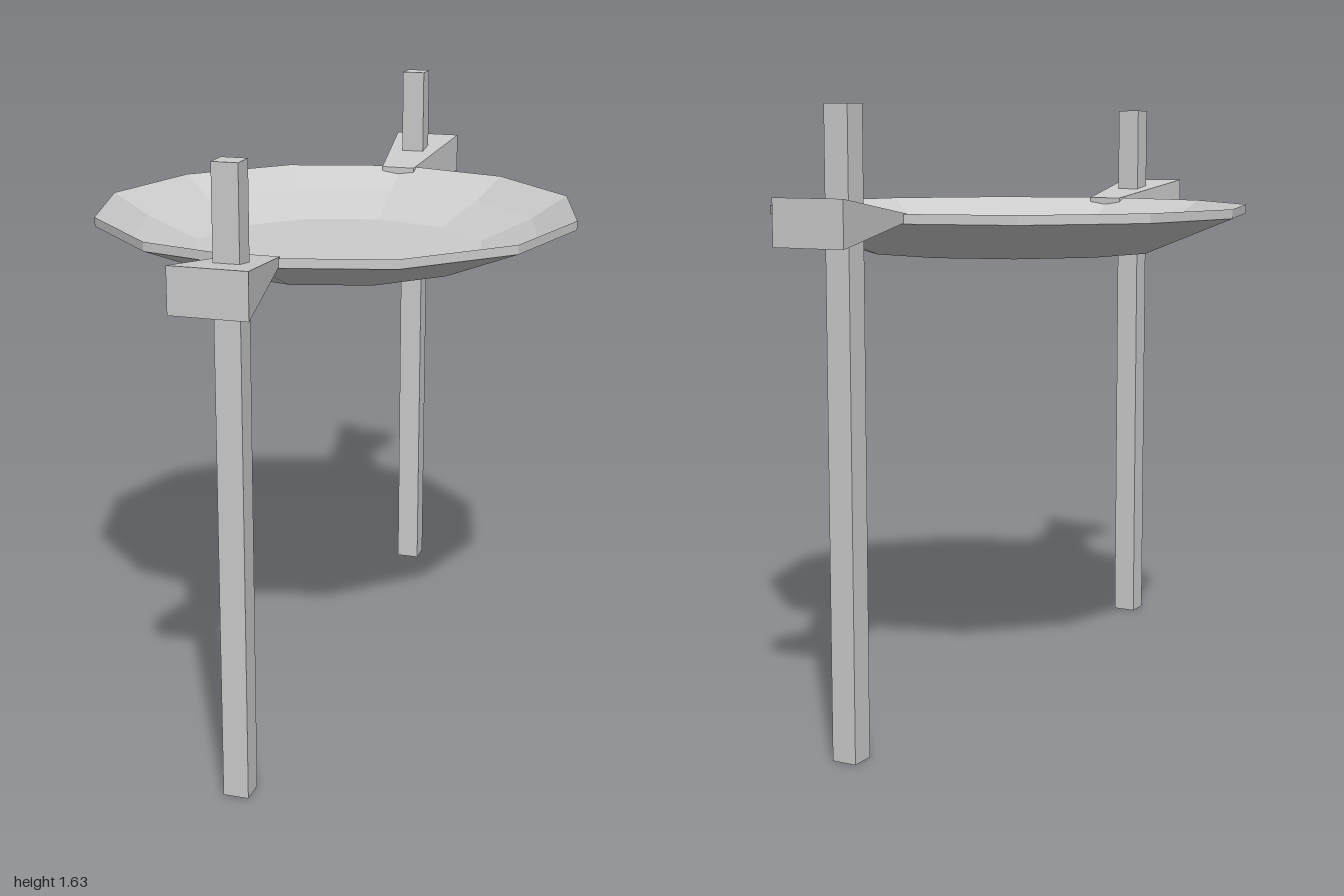
import * as THREE from 'three';

const material = new THREE.MeshStandardMaterial({ color: 0xcccccc, flatShading: true });

function addMesh(parent, name, geometry) {
  const mesh = new THREE.Mesh(geometry, material);
  mesh.name = name;
  parent.add(mesh);
  return mesh;
}

// Wedge along z: small end face at z = 0.635, large end face at z = 1
function wedgeGeometry() {
  const inner = { w: 0.1, h: 0.02, z: 0.635 };
  const outer = { w: 0.2, h: 0.118, z: 1 };
  const geometry = new THREE.BoxGeometry(1, 1, 1);
  const p = geometry.attributes.position;
  for (let i = 0; i < p.count; i++) {
    const end = p.getZ(i) > 0 ? outer : inner;
    p.setXYZ(i, p.getX(i) * end.w, p.getY(i) * end.h, end.z);
  }
  geometry.computeVertexNormals();
  return geometry;
}

export function createModel() {
  const model = new THREE.Group();
  model.name = 'dishOnPosts';

  // Shallow twelve-sided dish: underside, rim, then hollow inside
  const profile = [
    [0, 1.235], [0.42, 1.235], [0.67, 1.335], [0.67, 1.36],
    [0.567, 1.3], [0.417, 1.24], [0, 1.24],
  ].map(([r, y]) => new THREE.Vector2(r, y));
  addMesh(model, 'dish', new THREE.LatheGeometry(profile, 12));

  // One post with its wedge handle at the front, and one at the back
  for (const [side, turn] of [['front', 0], ['back', Math.PI]]) {
    const support = new THREE.Group();
    support.name = side + 'Support';
    support.rotation.y = turn;

    const post = addMesh(support, side + 'Post', new THREE.BoxGeometry(0.067, 1.63, 0.067));
    post.position.set(0, 0.815, 0.842);

    const handle = addMesh(support, side + 'Handle', wedgeGeometry());
    handle.position.y = 1.35;

    model.add(support);
  }
  return model;
}
